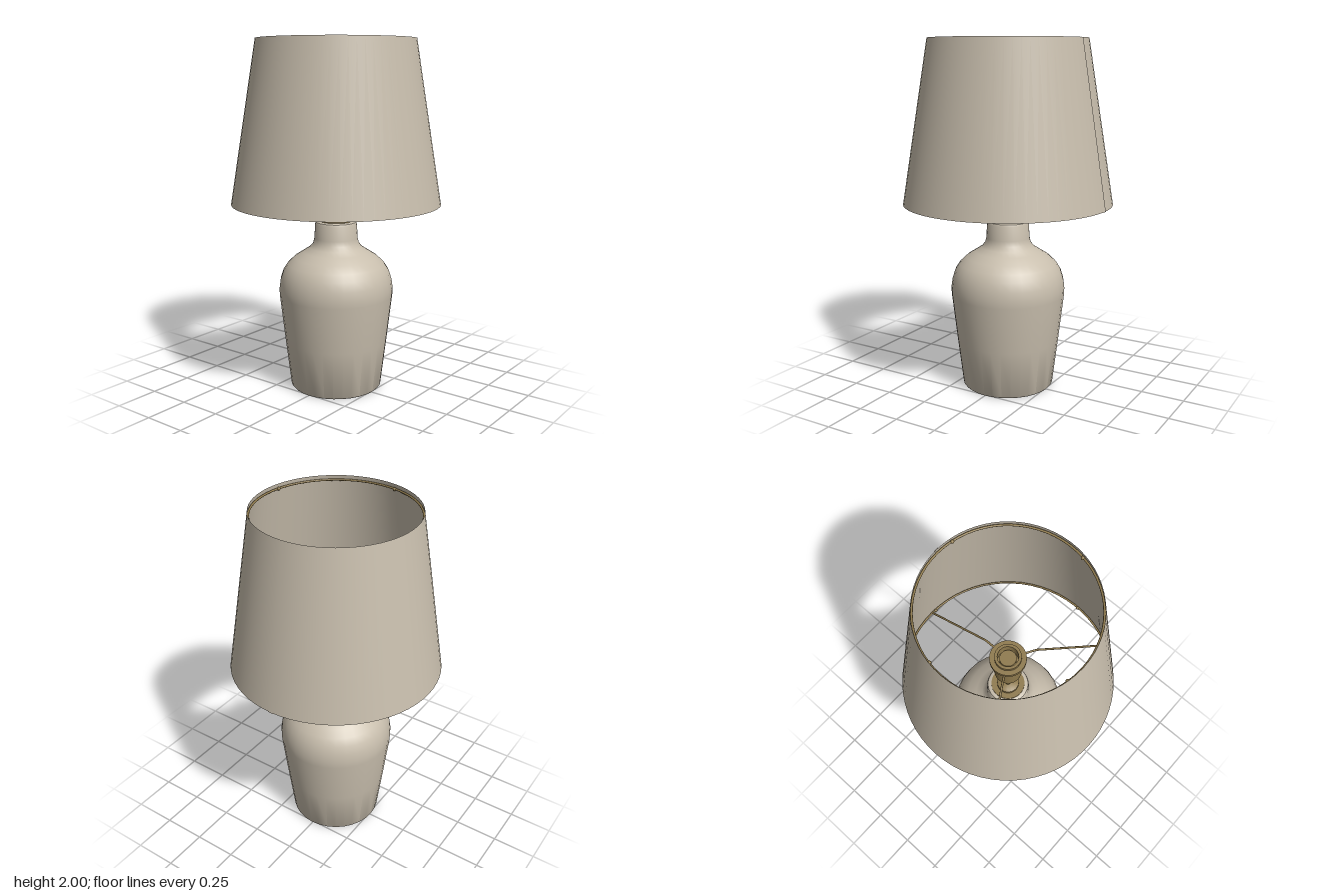
import * as THREE from 'three';
import { toCreasedNormals } from 'three/addons/utils/BufferGeometryUtils.js';

const SHADE = { bottom: 1.085, top: 2, rBottom: 0.595, rTop: 0.445 };
const shadeRadius = (y) => THREE.MathUtils.mapLinear(y, SHADE.bottom, SHADE.top, SHADE.rBottom, SHADE.rTop);

function lathe(profile, segments, crease = 0.6) {
  const points = profile.map(([r, y]) => new THREE.Vector2(r, y));
  return toCreasedNormals(new THREE.LatheGeometry(points, segments), crease);
}

export function createModel() {
  const model = new THREE.Group();
  model.name = 'tableLamp';

  const linen = new THREE.MeshStandardMaterial({ color: 0xc8bead, side: THREE.DoubleSide });
  linen.name = 'warm beige';
  const brass = new THREE.MeshStandardMaterial({ color: 0x8f7a4d });
  brass.name = 'aged brass';

  const add = (name, geometry, material, parent = model) => {
    const mesh = new THREE.Mesh(geometry, material);
    mesh.name = name;
    parent.add(mesh);
    return mesh;
  };

  // Ceramic body: tapered jar with round shoulders and a short neck
  add('ceramicBody', lathe([
    [0, 0], [0.257, 0], [0.264, 0.008], [0.297, 0.28], [0.328, 0.55], [0.329, 0.59],
    [0.322, 0.64], [0.306, 0.69], [0.28, 0.73], [0.24, 0.768], [0.19, 0.8], [0.152, 0.825],
    [0.132, 0.85], [0.125, 0.88], [0.12, 0.962], [0.115, 0.974], [0.105, 0.979], [0, 0.979],
  ], 32), linen);

  // Stepped brass cap on the neck and the stem above it
  add('neckCap', lathe([
    [0, 0.975], [0.095, 0.975], [0.095, 0.986], [0.062, 0.986], [0.062, 1.004],
    [0.05, 1.012], [0, 1.012],
  ], 28), brass);
  const stem = add('stem', new THREE.CylinderGeometry(0.019, 0.019, 0.2, 16), brass);
  stem.position.y = 1.1;

  // Bulb socket: an open cup with a flange that carries the shade
  add('socket', lathe([
    [0, 1.17], [0.062, 1.17], [0.075, 1.182], [0.077, 1.2], [0.077, 1.352], [0.1, 1.352],
    [0.1, 1.374], [0.073, 1.374], [0.073, 1.392], [0.057, 1.392], [0.057, 1.33], [0, 1.33],
  ], 28), brass);
  const contact = add('socketContact', new THREE.CylinderGeometry(0.046, 0.046, 0.04, 24), brass);
  contact.position.y = 1.35;

  // Open tapered shade with an overlapping seam at the back
  const shade = new THREE.Group();
  shade.name = 'shade';
  model.add(shade);
  const height = SHADE.top - SHADE.bottom;
  const wall = (offset, segments, start, length) => new THREE.CylinderGeometry(
    SHADE.rTop + offset, SHADE.rBottom + offset, height, segments, 1, true, start, length);
  add('shadeWall', wall(0, 64, 0, Math.PI * 2), linen, shade);
  add('shadeSeam', wall(0.003, 2, Math.PI - 0.03, 0.06), linen, shade);
  shade.children.forEach((m) => { m.position.y = (SHADE.top + SHADE.bottom) / 2; });

  // Wire rings inside both rims, each with four small clips
  const frame = new THREE.Group();
  frame.name = 'wireFrame';
  model.add(frame);
  for (const [name, y, turn] of [['bottom', 1.105, 0.04], ['top', 1.975, 0.2]]) {
    const r = shadeRadius(y) - 0.008;
    const ring = add(name + 'Ring', new THREE.TorusGeometry(r, 0.006, 8, 64), brass, frame);
    ring.rotation.x = Math.PI / 2;
    ring.position.y = y;
    for (let i = 0; i < 4; i++) {
      const a = turn + i * Math.PI / 2;
      const clip = add(name + 'Clip', new THREE.SphereGeometry(0.01, 10, 8), brass, frame);
      clip.position.set((r - 0.003) * Math.cos(a), y, (r - 0.003) * Math.sin(a));
    }
  }

  // Three bent arms from the socket flange down to the bottom ring
  const armPath = new THREE.CurvePath();
  const p = [[0.08, 1.363], [0.15, 1.363], [0.18, 1.35], [0.585, 1.105]]
    .map(([r, y]) => new THREE.Vector3(0, y, -r));
  armPath.add(new THREE.LineCurve3(p[0], p[1]));
  armPath.add(new THREE.QuadraticBezierCurve3(p[1], new THREE.Vector3(0, 1.363, -0.165), p[2]));
  armPath.add(new THREE.LineCurve3(p[2], p[3]));
  const armGeometry = new THREE.TubeGeometry(armPath, 40, 0.006, 8);
  for (let i = 0; i < 3; i++) {
    add('shadeArm', armGeometry, brass, frame).rotation.y = i * Math.PI * 2 / 3;
  }

  return model;
}
